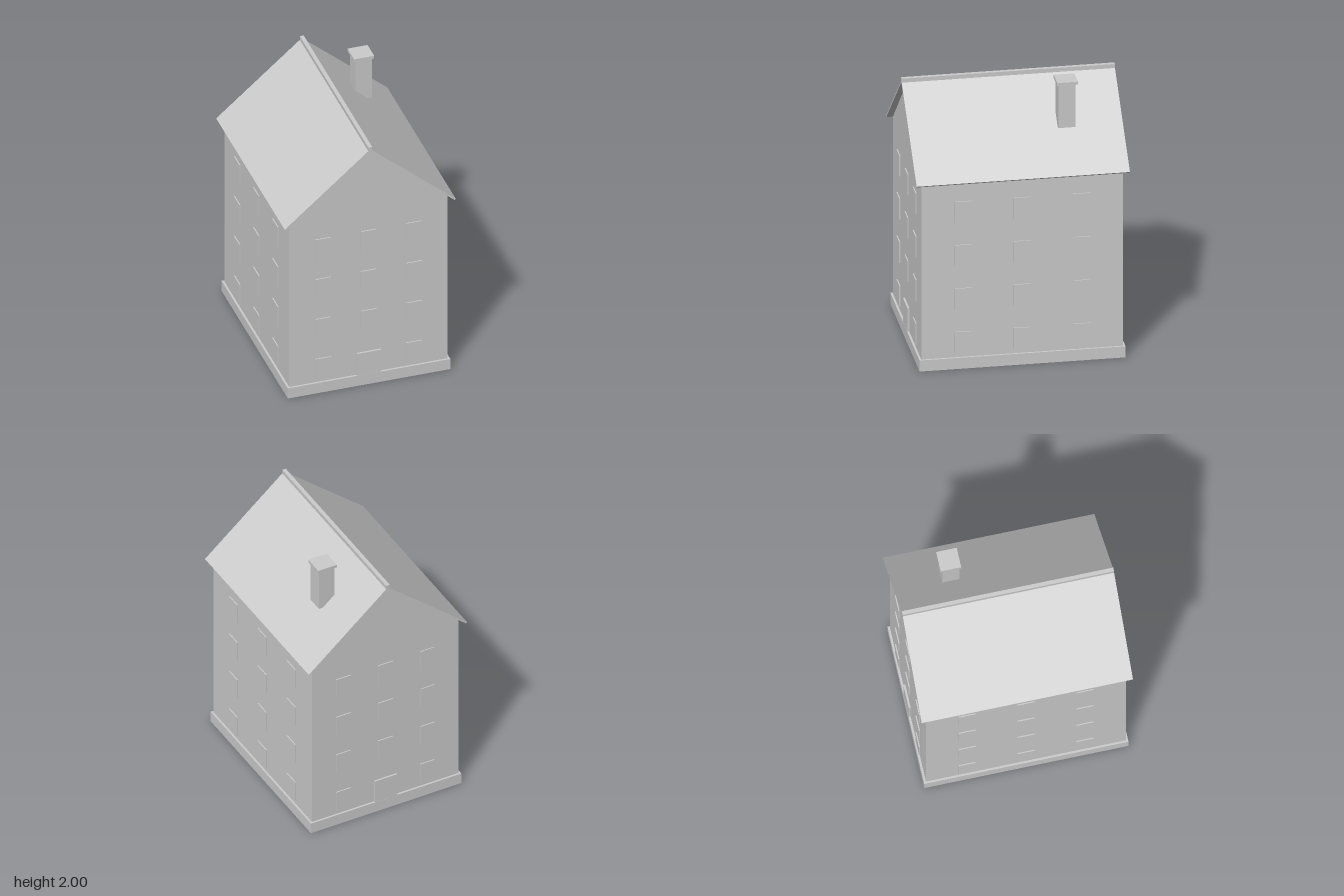
import * as THREE from 'three';

export function createModel() {
  const model = new THREE.Group();
  model.name = 'townHouse';
  const stone = new THREE.MeshStandardMaterial({ color: 0xcccccc });
  stone.name = 'plain grey';

  const add = (name, geometry) => {
    const mesh = new THREE.Mesh(geometry, stone);
    mesh.name = name;
    model.add(mesh);
    return mesh;
  };
  // Box given by its limits on each axis
  const box = (name, x0, x1, y0, y1, z0, z1) => {
    const mesh = add(name, new THREE.BoxGeometry(x1 - x0, y1 - y0, z1 - z0));
    mesh.position.set((x0 + x1) / 2, (y0 + y1) / 2, (z0 + z1) / 2);
    return mesh;
  };
  // Outline in x and y, extruded evenly along z
  const prism = (name, points, depth) => {
    const shape = new THREE.Shape(points.map(([x, y]) => new THREE.Vector2(x, y)));
    const geometry = new THREE.ExtrudeGeometry(shape, { depth, bevelEnabled: false });
    geometry.translate(0, 0, -depth / 2);
    return add(name, geometry);
  };

  const wallX = 0.575, wallZ = 0.705;

  // Foundation and gabled walls
  box('foundation', -0.59, 0.59, 0, 0.083, -0.72, 0.72);
  prism('walls', [[-wallX, 0.08], [wallX, 0.08], [wallX, 1.412], [0, 1.922], [-wallX, 1.412]], wallZ * 2);

  // Thin roof slabs, ridge beam
  for (const s of [-1, 1]) {
    prism(s > 0 ? 'roofLeft' : 'roofRight',
      [[0, 1.923], [s * 0.613, 1.396], [s * 0.621, 1.405], [0, 1.937]], 1.49);
  }
  box('ridge', -0.014, 0.014, 1.925, 1.955, -0.745, 0.745);

  // Chimney with cap
  box('chimney', 0.238, 0.358, 1.655, 1.98, -0.41, -0.29);
  box('chimneyCap', 0.225, 0.371, 1.978, 2, -0.425, -0.28);

  // Windows and doors on all four sides
  const plate = 0.008;
  for (let row = 0; row < 4; row++) {
    const y0 = 0.117 + row * 0.326, y1 = y0 + 0.157;
    for (const s of [-1, 1]) {
      for (const col of [-1, 0, 1]) {
        const zc = col * 0.415;
        const side = box('sideWindow', -plate, plate, y0, y1, zc - 0.06, zc + 0.06);
        side.position.x = s * wallX;
        if (row === 0 && col === 0) continue; // the door takes this place
        const xc = col * 0.33;
        const end = box('gableWindow', xc - 0.057, xc + 0.057, y0, y1, -plate, plate);
        end.position.z = s * wallZ;
      }
    }
  }
  for (const s of [-1, 1]) {
    const door = box(s > 0 ? 'frontDoor' : 'backDoor', -0.088, 0.088, 0.07, 0.262, -0.014, 0.014);
    door.position.z = s * wallZ;
  }

  return model;
}
